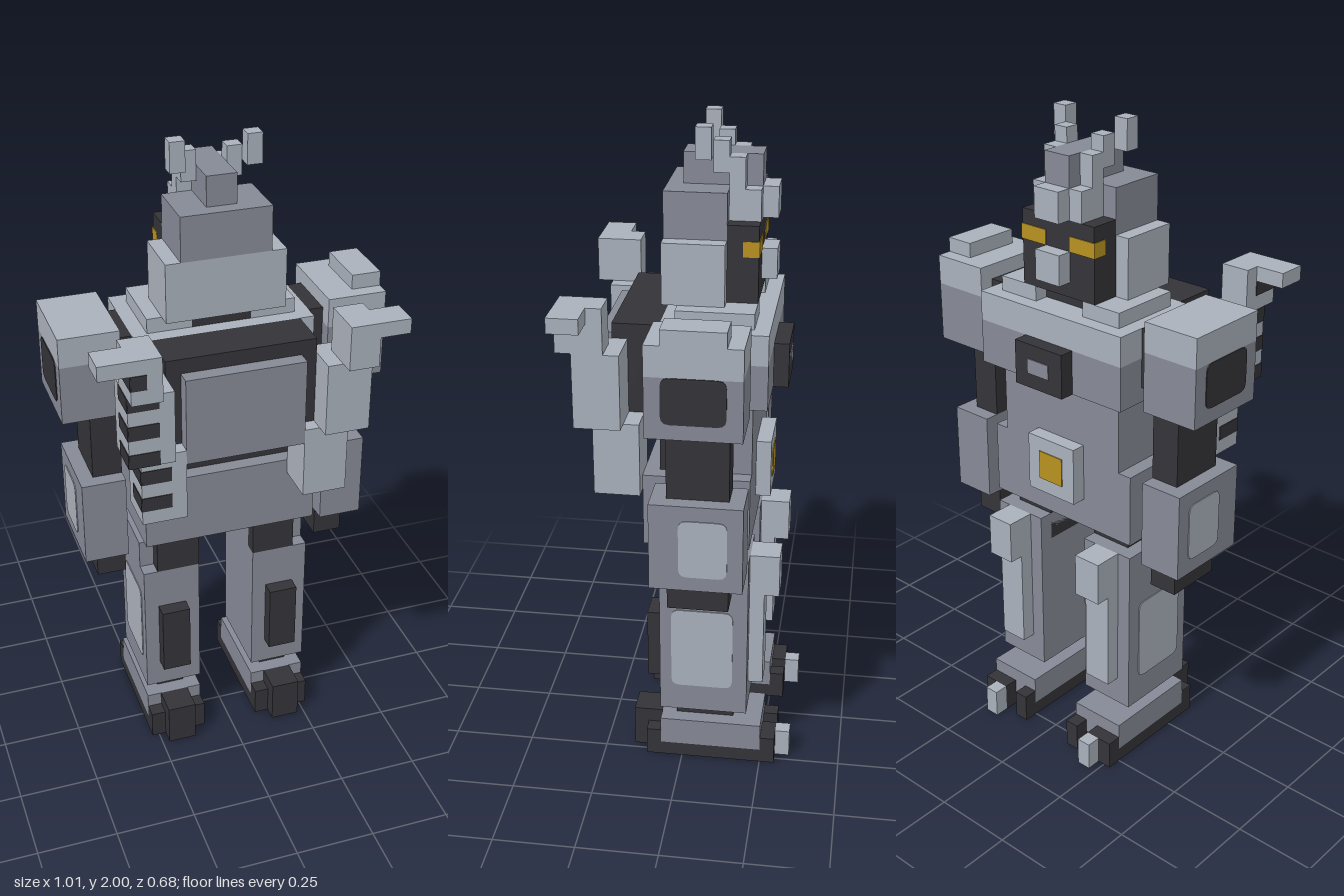
import * as THREE from 'three';

const U = 1 / 22; // one block

const mat = (name, color) => {
  const m = new THREE.MeshStandardMaterial({ color });
  m.name = name;
  return m;
};

export function createModel() {
  const gray = mat('midGray', 0x868a96);
  const light = mat('lightGray', 0xaab1bc);
  const dark = mat('charcoal', 0x343338);
  const gold = mat('gold', 0xb8921f);
  const root = new THREE.Group();
  root.name = 'blockRobot';

  // Box from block-unit ranges
  const box = (name, m, x0, x1, y0, y1, z0, z1) => {
    const mesh = new THREE.Mesh(
      new THREE.BoxGeometry((x1 - x0) * U, (y1 - y0) * U, (z1 - z0) * U), m);
    mesh.position.set((x0 + x1) / 2 * U, (y0 + y1) / 2 * U, (z0 + z1) / 2 * U);
    mesh.name = name;
    root.add(mesh);
    return mesh;
  };
  // The same box on both sides
  const pair = (name, m, x0, x1, ...r) => {
    box(name + 'Left', m, x0, x1, ...r);
    box(name + 'Right', m, -x1, -x0, ...r);
  };
  // Thin rounded plates on the outer sides
  const sidePatch = (name, m, x, y0, y1, z0, z1) => {
    const w = (z1 - z0) * U / 2, h = (y1 - y0) * U / 2, r = 0.025;
    const s = new THREE.Shape();
    s.moveTo(-w + r, -h);
    s.lineTo(w - r, -h).quadraticCurveTo(w, -h, w, -h + r);
    s.lineTo(w, h - r).quadraticCurveTo(w, h, w - r, h);
    s.lineTo(-w + r, h).quadraticCurveTo(-w, h, -w, h - r);
    s.lineTo(-w, -h + r).quadraticCurveTo(-w, -h, -w + r, -h);
    const geo = new THREE.ExtrudeGeometry(s, { depth: 0.003, bevelEnabled: false, curveSegments: 3 });
    for (const side of [1, -1]) {
      const p = new THREE.Mesh(geo, m);
      p.name = name + (side > 0 ? 'Left' : 'Right');
      p.rotation.y = side * Math.PI / 2;
      p.position.set(side * x * U, (y0 + y1) / 2 * U, (z0 + z1) / 2 * U);
      root.add(p);
    }
  };

  // Feet
  pair('sole', dark, 2, 6, 0, 1, -5.5, 1.5);
  pair('foot', gray, 2, 6, 1, 3, -5.5, 1.5);
  pair('heel', dark, 2, 6, 0, 2, 1.5, 2.5);
  pair('heelSpur', dark, 3, 5, 0, 3, 1.5, 3.5);
  pair('innerToe', dark, 2, 3, 0, 2, -6.5, -5.5);
  pair('outerToe', dark, 4, 6, 0, 2, -6.5, -5.5);
  pair('toeTip', light, 4, 5, 0, 2, -7.5, -6.5);
  pair('ankle', dark, 3, 5, 3, 4, -3.5, 0.5);

  // Legs
  pair('lowerLeg', gray, 2, 6, 4, 14, -4.5, 1.5);
  pair('thighGuard', gray, 2, 6, 14, 16, -4.5, 0.5);
  pair('thigh', dark, 2, 5, 14, 17, -3.5, 1.5);
  pair('calfPod', dark, 3, 5, 6, 11, 1.5, 2.5);
  pair('shinPlate', light, 3, 5, 6, 13, -5.5, -4.5);
  pair('knee', light, 3, 5, 13, 16, -6.5, -4.5);
  sidePatch('legPatch', light, 6, 6, 12, -3.5, 0.7);

  // Torso
  box('pelvis', gray, -6, 6, 17, 22, -4.5, 2.5);
  box('abdomen', gray, -5, 5, 22, 27, -4.5, 0.5);
  box('abdomenCore', dark, -5, 5, 22, 25, 0.5, 1.5);
  box('chest', gray, -6, 6, 27, 30, -5.5, 1.5);
  box('upperChest', light, -6, 6, 30, 32, -5.5, 1.5);
  pair('collar', light, 2, 5, 32, 33, -4.5, 0.5);
  box('neck', dark, -2, 2, 32, 33, -3.5, 0.5);
  box('buckle', light, -2, 2, 19, 23, -5.5, -4.5);
  box('buckleGem', gold, -1, 1, 20, 22, -5.57, -5.5);
  box('chestEmblem', dark, -2, 2, 27, 30, -6.5, -5.5);
  box('emblemDot', gray, -0.9, 0.9, 28, 29, -6.57, -6.5);

  // Backpack
  box('backpack', dark, -5, 5, 25, 32, 1.5, 4.5);
  box('backpackPanel', gray, -4, 4, 25, 31, 4.5, 5.5);

  // Arms
  pair('shoulderJoint', dark, 6, 7, 28, 32, -3.5, 0.5);
  pair('shoulder', gray, 7, 11, 27, 31, -4.5, 1.5);
  pair('shoulderTop', light, 7, 11, 31, 33, -4.5, 1.5);
  box('shoulderCapLeft', light, 9, 11, 33, 34, -3.5, 0.5);
  sidePatch('shoulderPatch', dark, 11, 28, 31, -3.5, 0.5);
  pair('upperArm', dark, 7, 9, 22, 27, -3.5, 0.5);
  pair('forearm', gray, 7, 10, 16, 22, -4.5, 1.5);
  sidePatch('forearmPatch', light, 10, 17, 21, -3.5, -0.4);
  pair('hand', dark, 7, 9, 14, 16, -3.5, 0.5);

  // Stepped back fins
  pair('finTip', light, 7, 10, 33, 34, 5.5, 7.5);
  [[31, 34], [26, 31], [21, 26]].forEach(([y0, y1], i) =>
    pair('finStep' + (i + 1), light, 6 - i, 9 - i - (i === 0 ? 1 : 0), y0, y1, 4.5 - i, 7.5 - i));
  // Dark slots on the right fin
  [[32, 0], [30, 1], [28, 1], [26, 1], [24, 2], [22, 2]].forEach(([y, i], n) => {
    const z = 7.5 - i, x1 = i === 0 ? -8 : i - 9;
    box('finSlot' + (n + 1), dark, x1, -7 + i, y, y + 1, z, z + 0.05);
    box('finSlotSide' + (n + 1), dark, x1 - 0.05, x1, y, y + 1, z - 2, z);
  });

  // Head
  box('helmetBase', light, -4, 4, 33, 37, -2.5, 1.5);
  box('helmetTop', gray, -3, 3, 37, 40, -2.5, 1.5);
  box('face', dark, -3, 3, 33, 38, -4.5, -2.5);
  box('brow', light, -2, 2, 38, 40, -4.5, -2.5);
  box('browPlate', light, -1, 1, 38, 40, -5.5, -4.5);
  box('mouthGuard', light, -1, 1, 34, 36, -5.5, -4.5);
  pair('eye', gold, 1, 3, 36, 37, -4.56, -4.5);
  pair('eyeSide', gold, 3, 3.06, 36, 37, -4.56, -3.5);
  box('crest', gray, -1, 1, 40, 42, -4.5, 0.5);
  pair('hornBase', light, 1, 2, 40, 42, -3.5, -2.5);
  pair('hornMiddle', light, 1, 2, 41, 43, -2.5, -1.5);
  pair('hornTip', light, 2, 3, 42, 44, -1.5, -0.5);

  return root;
}
